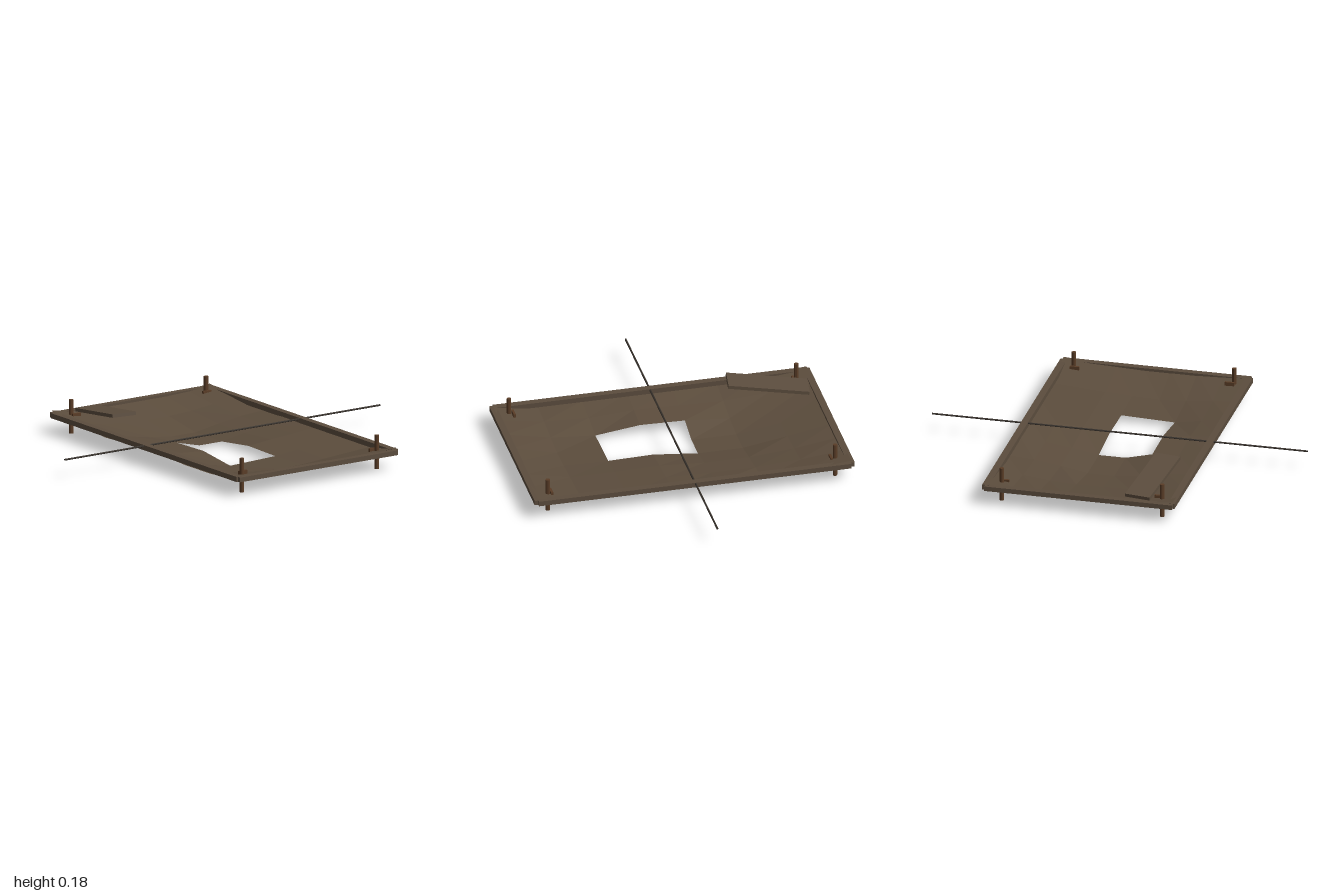
import * as THREE from 'three';

export function createModel() {
  const group = new THREE.Group();
  const mat = (name, color, extra = {}) => {
    const m = new THREE.MeshStandardMaterial({ color, flatShading: true, ...extra });
    m.name = name;
    return m;
  };
  const wood = mat('weathered wood', 0x5c4d3e);
  const cloth = mat('sagging sheet', 0x5c4d3d, { side: THREE.DoubleSide });
  const rust = mat('rusty iron', 0x5a3d27);
  const dark = mat('dark iron', 0x38322c);

  const add = (name, geometry, material, x, y, z) => {
    const mesh = new THREE.Mesh(geometry, material);
    mesh.name = name;
    mesh.position.set(x, y, z);
    group.add(mesh);
    return mesh;
  };

  // Frame rails
  add('backRail', new THREE.BoxGeometry(1.66, 0.027, 0.036), wood, 0, 0.092, -0.507);
  add('frontRail', new THREE.BoxGeometry(1.66, 0.027, 0.036), wood, 0, 0.092, 0.481);
  for (const s of [-1, 1]) {
    add(s < 0 ? 'rightRail' : 'leftRail', new THREE.BoxGeometry(0.036, 0.025, 1.0), wood, s * 0.832, 0.092, -0.01);
  }

  // Sagging sheet: heights per row from back to front, with a hole of 2 x 2 cells
  const heights = [
    [0.115, 0.095, 0.07, 0.085, 0.08, 0.07, 0.07, 0.115],
    [0.1, 0.075, 0.06, 0.06, 0.065, 0.06, 0.06, 0.105],
    [0.095, 0.06, 0.04, 0.04, 0.055, 0.05, 0.05, 0.1],
    [0.095, 0.053, 0.015, 0.015, 0.04, 0.035, 0.04, 0.095],
    [0.095, 0.053, 0.015, 0.015, 0.04, 0.03, 0.035, 0.095],
    [0.095, 0.056, 0.03, 0.05, 0.055, 0.025, 0.045, 0.095],
    [0.1, 0.07, 0.055, 0.06, 0.065, 0.05, 0.06, 0.1],
    [0.115, 0.09, 0.07, 0.08, 0.08, 0.07, 0.07, 0.11],
  ];
  const points = [], index = [];
  heights.forEach((row, j) => row.forEach((y, i) => points.push(-0.834 + i * 0.238, y, -0.51 + j * 0.1425)));
  for (let j = 0; j < 7; j++) {
    for (let i = 0; i < 7; i++) {
      if ((i === 3 || i === 4) && (j === 3 || j === 4)) continue;
      const a = j * 8 + i, b = a + 1, c = a + 8, d = a + 9;
      index.push(a, c, b, b, c, d);
    }
  }
  const sheet = new THREE.BufferGeometry();
  sheet.setAttribute('position', new THREE.Float32BufferAttribute(points, 3));
  sheet.setIndex(index);
  sheet.computeVertexNormals();
  add('saggingSheet', sheet, cloth, 0, 0, 0);

  // Corner pins, each with a small cleat beside it
  for (const x of [-1, 1]) {
    for (const [end, z] of [['back', -0.437], ['front', 0.417]]) {
      const corner = end + (x < 0 ? 'Right' : 'Left');
      add(corner + 'Pin', new THREE.CylinderGeometry(0.012, 0.012, 0.18, 8), rust, x * 0.763, 0.09, z);
      add(corner + 'Cleat', new THREE.BoxGeometry(0.012, 0.02, 0.05), rust, x * 0.743, 0.098, z < 0 ? -0.428 : 0.397);
    }
  }

  // Long thin rod crossing from back to front
  const rod = add('crossRod', new THREE.CylinderGeometry(0.005, 0.005, 2, 6), dark, 0, 0.1, 0);
  rod.rotation.set(Math.PI / 2, 0, -0.003);

  // Loose plank propped on the sheet
  const plank = add('loosePlank', new THREE.BoxGeometry(0.425, 0.018, 0.137), wood, -0.588, 0.138, 0.322);
  plank.rotation.set(0, -0.142, 0.14, 'YXZ');

  return group;
}
